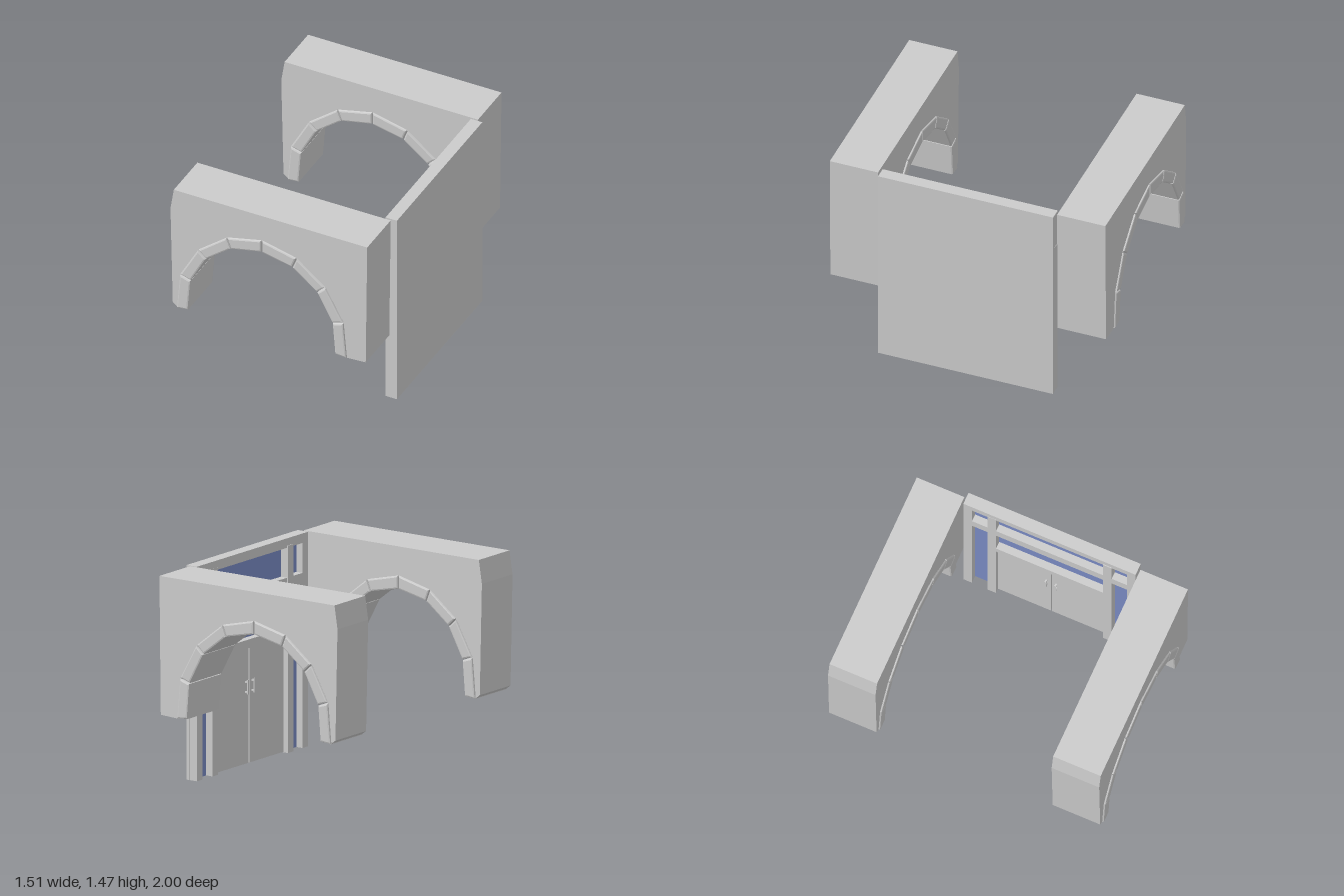
import * as THREE from 'three';

const stone = new THREE.MeshStandardMaterial({ color: 0xcccccc, flatShading: true });
const glass = new THREE.MeshStandardMaterial({ color: 0x7a8bc4 });

// Half of the arch, from foot to crown, measured from the arch centre line
const ARCH_X = -0.07;
const INNER = [[0.55, 0.52], [0.53, 0.77], [0.415, 0.985], [0.23, 1.13], [0, 1.18]];
const OUTER = [[0.635, 0.512], [0.61, 0.795], [0.475, 1.04], [0.26, 1.21], [0, 1.272]];

// Full left-to-right line from a half line
function fullLine(half) {
  const left = half.map(([x, y]) => new THREE.Vector2(ARCH_X - x, y));
  const right = half.slice(0, -1).reverse().map(([x, y]) => new THREE.Vector2(ARCH_X + x, y));
  return [...left, ...right];
}

function addMesh(parent, name, geometry, material = stone) {
  const mesh = new THREE.Mesh(geometry, material);
  mesh.name = name;
  parent.add(mesh);
  return mesh;
}

// Box given by its ranges on each axis
function addBox(parent, name, [x0, x1], [y0, y1], [z0, z1], material) {
  const mesh = addMesh(parent, name, new THREE.BoxGeometry(x1 - x0, y1 - y0, z1 - z0), material);
  mesh.position.set((x0 + x1) / 2, (y0 + y1) / 2, (z0 + z1) / 2);
  return mesh;
}

function makeArch() {
  const arch = new THREE.Group();
  const inner = fullLine(INNER);
  const outer = fullLine(OUTER);

  // Wall with the arched opening, set just inside the outer line of the stones
  const opening = outer.map((p, i) => p.clone().lerp(inner[i], 0.1));
  const outline = [
    new THREE.Vector2(0.705, 0.52), new THREE.Vector2(0.716, 1.47),
    new THREE.Vector2(-0.73, 1.47), new THREE.Vector2(-0.755, 1.31),
    new THREE.Vector2(-0.738, 0.545), ...opening,
  ];
  const wall = new THREE.ExtrudeGeometry(new THREE.Shape(outline), { depth: 0.346, bevelEnabled: false });
  addMesh(arch, 'archWall', wall.translate(0, 0, -0.173));

  // Ring of arch stones with softened edges and thin joints
  const bevel = 0.012;
  for (let i = 0; i < inner.length - 1; i++) {
    const gap = 0.012;
    const corners = [
      inner[i].clone().lerp(inner[i + 1], gap), inner[i + 1].clone().lerp(inner[i], gap),
      outer[i + 1].clone().lerp(outer[i], gap), outer[i].clone().lerp(outer[i + 1], gap),
    ];
    const block = new THREE.ExtrudeGeometry(new THREE.Shape(corners), {
      depth: 0.372 - 2 * bevel, bevelEnabled: true, bevelThickness: bevel,
      bevelSize: bevel, bevelOffset: -bevel, bevelSegments: 2,
    });
    addMesh(arch, 'archStone', block.translate(0, 0, bevel - 0.186));
  }
  return arch;
}

function makeEntrance() {
  const entrance = new THREE.Group();
  entrance.name = 'entranceWall';
  const front = [0.67, 0.735];

  // Plain back of the wall
  addBox(entrance, 'backPanel', [0.73, 0.755], [0, 1.47], [-0.628, 0.626]);

  // Frame: header, transoms, end stiles and inner posts
  addBox(entrance, 'header', front, [1.405, 1.47], [-0.628, 0.626]);
  addBox(entrance, 'transom', front, [1.11, 1.2], [-0.628, 0.626]);
  addBox(entrance, 'doorLintel', front, [0.8, 0.86], [-0.39, 0.39]);
  for (const s of [-1, 1]) {
    const range = (a, b) => (s > 0 ? [a, b] : [-b, -a]);
    addBox(entrance, 'endStile', front, [0, 1.47], range(0.565, 0.626));
    addBox(entrance, 'innerPost', [s > 0 ? 0.664 : 0.668, 0.735], [0, 1.42], range(0.39, 0.452));

    // Side windows
    addBox(entrance, 'sideWindow', [0.722, 0.735], [0, 1.41], range(0.45, 0.567), glass);

    // Double door with handles
    addBox(entrance, 'door', [0.7, 0.735], [0.004, 0.8], range(0.004, 0.39));
    addBox(entrance, 'handleBar', [0.676, 0.684], [0.48, 0.58], range(0.03, 0.042));
    for (const y of [0.495, 0.565]) {
      addBox(entrance, 'handleMount', [0.68, 0.702], [y - 0.006, y + 0.006], range(0.03, 0.042));
    }
  }

  // Windows above the door
  addBox(entrance, 'lowerWindow', [0.722, 0.735], [0.855, 1.115], [-0.395, 0.395], glass);
  addBox(entrance, 'upperWindow', [0.722, 0.735], [1.195, 1.41], [-0.395, 0.395], glass);
  return entrance;
}

export function createModel() {
  const model = new THREE.Group();
  model.name = 'archedPorch';

  // Matching arches at the front and back
  for (const s of [-1, 1]) {
    const arch = makeArch();
    arch.name = s > 0 ? 'frontArch' : 'backArch';
    arch.position.z = s * 0.814;
    model.add(arch);
  }
  model.add(makeEntrance());
  return model;
}
